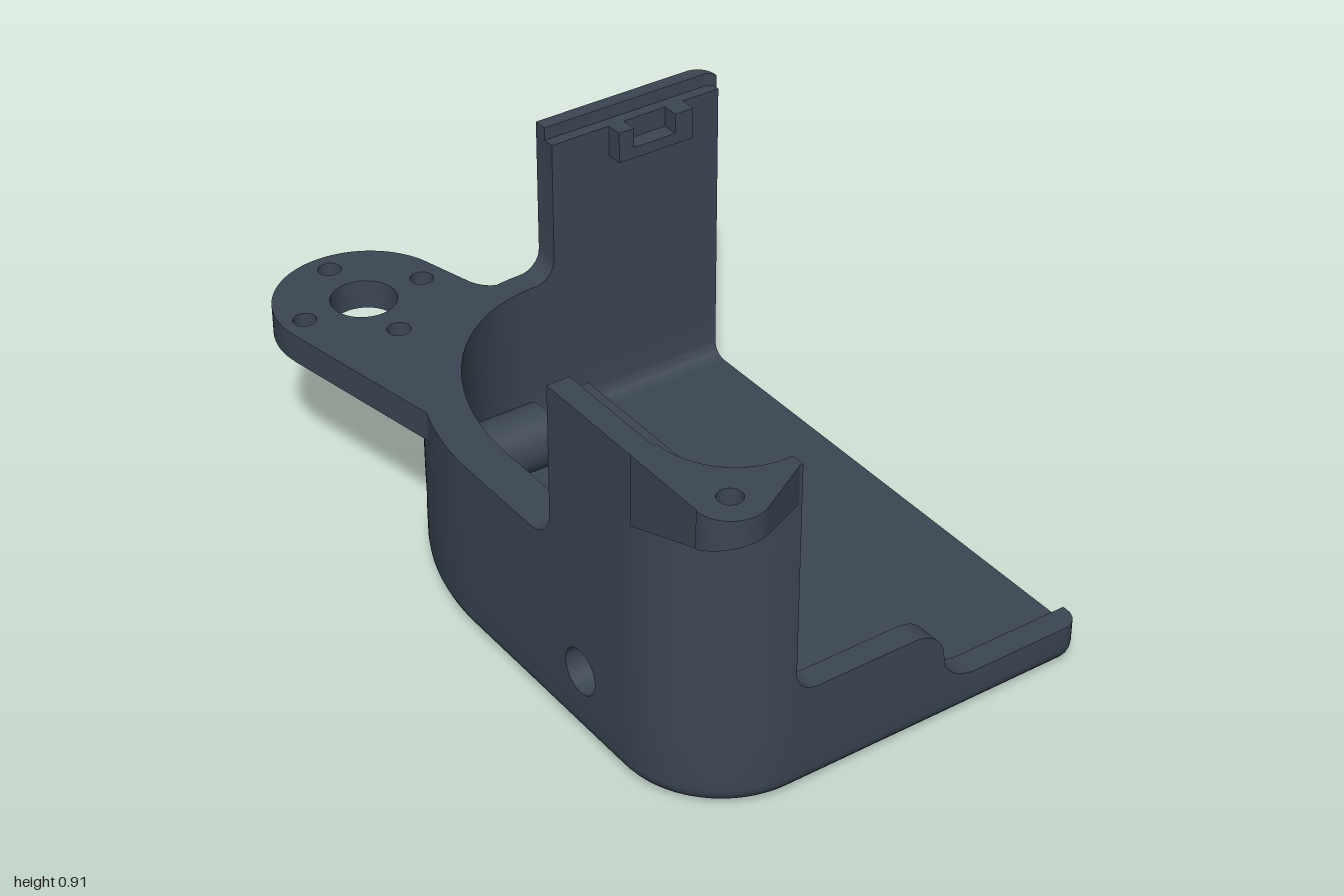
import * as THREE from 'three';
import { toCreasedNormals, mergeGeometries } from 'three/addons/utils/BufferGeometryUtils.js';

const body = new THREE.MeshStandardMaterial({ color: 0x3c4654, side: THREE.DoubleSide });
body.name = 'slate body';
const leaf = new THREE.MeshStandardMaterial({ color: 0x55a088, side: THREE.DoubleSide });
leaf.name = 'leaf green';

const R = Math.PI / 180, FLOOR = 0.07, TALL = 0.905, LOW = 0.48;
const BORE = { y: 0.185, r: 0.06, z: [0.465, -0.38] };

// points along an elliptical arc, angles in degrees
function arc(cx, cy, rx, ry, a0, a1, n = 8) {
  return Array.from({ length: n + 1 }, (_, i) => {
    const a = (a0 + (a1 - a0) * i / n) * R;
    return [cx + rx * Math.cos(a), cy + ry * Math.sin(a), Math.cos(a), Math.sin(a)];
  });
}
// x of the outer face of the side wall
const outerX = z => z > 0 ? -0.54 : 0.02 - 0.56 * Math.sqrt(1 - (z / 0.64) ** 2);

function add(group, name, geometry, material = body, crease = 35) {
  const mesh = new THREE.Mesh(toCreasedNormals(geometry, crease * R), material);
  mesh.name = name;
  group.add(mesh);
  return mesh;
}
// plan shape (x, z) extruded downwards from height top
function slab(shape, top, depth) {
  return new THREE.ExtrudeGeometry(shape, { depth, bevelEnabled: false, curveSegments: 32 })
    .rotateX(Math.PI / 2).translate(0, top, 0);
}
function hole(shape, x, y, r) {
  shape.holes.push(new THREE.Path().absarc(x, y, r, 0, Math.PI * 2, true));
}
const poly = pts => new THREE.Shape(pts.map(p => new THREE.Vector2(p[0], p[1])));

// stations around the plan: outer point, inner point, normal, height, floor fillet
function stations() {
  const list = [];
  const put = (o, i, n, h, f = 0.04, ni = n) => list.push({ o, i, n, h, f, ni });
  // front wall with its stepped edge
  put([0.535, 0.905], [0.585, 0.84], [0, 1], 0.11);
  [...arc(0.265, 0.19, 0.1, 0.08, -90, -180), ...arc(0.075, 0.19, 0.09, 0.09, 0, 90),
    ...arc(-0.2, 0.34, 0.06, 0.06, -90, -180), [-0.26, TALL]]
    .forEach(([x, h]) => put([x, 0.905], [x, 0.84], [0, 1], h));
  // front corner
  const cornerIn = arc(-0.27, 0.68, 0.16, 0.16, 90, 180, 20);
  arc(-0.27, 0.635, 0.27, 0.27, 90, 180, 20)
    .forEach((p, k) => put(p, cornerIn[k], [p[2], p[3]], TALL));
  // side wall, dense where the bore passes
  [...arc(BORE.z[0], 0, BORE.r, 0, 0, 180, 20).map(p => [p[0], TALL]), [0.35, TALL],
    ...arc(0.27, 0.56, 0.08, 0.08, 0, -90)]
    .forEach(([z, h]) => put([-0.54, z], [-0.43, z], [-1, 0], h));
  // big back corner
  const backIn = arc(0.02, 0, 0.45, 0.57, 180, 270, 90);
  arc(0.02, 0, 0.56, 0.64, 180, 270, 90)
    .forEach((p, k) => put(p, backIn[k], [p[2], p[3]], LOW));
  // back wall
  [...arc(0.02, 0.54, 0.06, 0.06, -90, 0), [0.08, TALL]]
    .forEach(([x, h]) => put([x, -0.64], [x, -0.57], [0, -1], h));
  arc(0.535, -0.59, 0.05, 0.05, -90, 0)
    .forEach(p => put(p, [0.585, -0.57], [p[2], p[3]], TALL, 0.04, [0, -1]));
  // open side: floor edge only
  put([0.585, -0.59], [0.585, -0.57], [1, 0], FLOOR, 0);
  put([0.585, 0.855], [0.585, 0.84], [1, 0], FLOOR, 0);
  arc(0.535, 0.855, 0.05, 0.05, 0, 90)
    .forEach(p => put(p, [0.585, 0.84], [p[2], p[3]], 0.11, 0.04, [0, 1]));
  return list;
}

// cross-section of the shell at one station, from outer bottom over the rim to the floor
function section({ o, i, n, ni, h, f }) {
  const pts = [], lip = h > 0.8 ? 0.035 : 0;
  const half = ([x, z]) => {
    const d = Math.min(...BORE.z.map(c => Math.abs(z - c)));
    return x < -0.1 && d < BORE.r ? Math.sqrt(BORE.r ** 2 - d * d) : 0;
  };
  const a = half(o), b = half(i), inTop = h - lip;
  const mid = [o[0] + (i[0] - o[0]) * 0.55, o[1] + (i[1] - o[1]) * 0.55];
  for (let k = 0; k <= 6; k++) {
    const t = k * 15 * R, inset = 0.05 * (1 - Math.sin(t));
    pts.push([o[0] - n[0] * inset, 0.05 * (1 - Math.cos(t)), o[1] - n[1] * inset]);
  }
  const row = (p, y) => pts.push([p[0], y, p[1]]);
  row(o, Math.min(BORE.y - a, h)); row(o, Math.min(BORE.y + a, h)); row(o, h);
  row(mid, h); row(mid, inTop);
  row(i, inTop); row(i, Math.min(BORE.y + b, inTop)); row(i, Math.min(BORE.y - b, inTop));
  for (let k = 0; k <= 6; k++) {
    const t = k * 15 * R, inset = f * (1 - Math.cos(t));
    pts.push([i[0] - ni[0] * inset, FLOOR + f * (1 - Math.sin(t)), i[1] - ni[1] * inset]);
  }
  pts.open = { 7: a > 0.001, 13: b > 0.001 };
  return pts;
}

function buildShell(group) {
  const st = stations(), secs = st.map(section), pos = [];
  secs.forEach((s, k) => {
    const t = secs[(k + 1) % secs.length];
    for (let j = 0; j < s.length - 1; j++) {
      if (s.open[j] || t.open[j]) continue;
      pos.push(...s[j], ...s[j + 1], ...t[j], ...s[j + 1], ...t[j + 1], ...t[j]);
    }
  });
  const g = new THREE.BufferGeometry();
  g.setAttribute('position', new THREE.Float32BufferAttribute(pos, 3));
  add(group, 'shellWalls', g);

  const distinct = pts => pts.filter((p, k) => {
    const q = pts[(k + 1) % pts.length];
    return Math.hypot(p[0] - q[0], p[1] - q[1]) > 1e-5;
  });
  const under = distinct(secs.map(s => [s[0][0], s[0][2]]));
  add(group, 'underside', new THREE.ShapeGeometry(poly(under)).rotateX(Math.PI / 2));
  const inside = distinct(secs.filter((s, k) => st[k].f > 0).map(s => [s.at(-1)[0], -s.at(-1)[2]]));
  add(group, 'insideFloor',
    new THREE.ShapeGeometry(poly(inside)).rotateX(-Math.PI / 2).translate(0, FLOOR, 0));
}

// screw post with a counterbore that opens through the side wall
function screwPost(group, name, zc, seat) {
  const profile = [[0.083, -1], [0.083, -0.09], [0.03, -0.09], [0.03, seat], [BORE.r, seat], [BORE.r, -1]];
  const g = new THREE.LatheGeometry(profile.map(p => new THREE.Vector2(...p)), 40).rotateZ(-Math.PI / 2);
  const p = g.attributes.position;
  for (let k = 0; k < p.count; k++) {
    if (p.getX(k) > -0.99) continue;
    const wide = Math.hypot(p.getY(k), p.getZ(k)) > 0.07;
    p.setX(k, outerX(p.getZ(k) + zc) + (wide ? 0.04 : 0));
  }
  add(group, name, g.translate(0, BORE.y, zc));
}

// tapered curved stroke lying on the underside
function stroke(a, b, bend, w0, w1) {
  const dx = b[0] - a[0], dz = b[1] - a[1], len = Math.hypot(dx, dz);
  const nx = -dz / len, nz = dx / len, l = [], r = [];
  for (let k = 0; k <= 8; k++) {
    const t = k / 8, c = bend * 4 * t * (1 - t), w = (w0 + (w1 - w0) * t) / 2;
    l.push([a[0] + dx * t + nx * (c + w), a[1] + dz * t + nz * (c + w)]);
    r.unshift([a[0] + dx * t + nx * (c - w), a[1] + dz * t + nz * (c - w)]);
  }
  return new THREE.ShapeGeometry(poly([...l, ...r])).rotateX(Math.PI / 2);
}
// sprig with broad fronds on one side and fine ones on the other
function sprig(group, x, z, size, broad, fine, stem = true) {
  const parts = stem ? [stroke([-0.04, 0.21], [0.05, -0.19], 0.02, 0.02, 0.05)] : [];
  for (let k = 0; k < 4; k++) {
    const s = [-0.03 + 0.022 * k, 0.13 - 0.1 * k];
    if (k < broad) parts.push(stroke(s, [s[0] + 0.1, s[1] - 0.1], -0.025, 0.035, 0.045));
    if (k < fine) parts.push(stroke(s, [s[0] - 0.17 + 0.02 * k, s[1] - 0.12], 0.01, 0.022, 0.006));
  }
  const g = mergeGeometries(parts).scale(size, 1, size).translate(x, -0.002, z);
  add(group, 'leafSprig', g, leaf);
}

export function createModel() {
  const model = new THREE.Group();
  model.name = 'housing';
  buildShell(model);
  screwPost(model, 'frontScrewPost', BORE.z[0], -0.36);
  screwPost(model, 'backScrewPost', BORE.z[1], -0.3);

  // round mounting flange behind the big corner
  const flange = new THREE.Shape();
  flange.moveTo(-0.488, -0.2);
  flange.lineTo(-0.587, -0.73);
  flange.absarc(-0.36, -0.77, 0.23, 170 * R, 342 * R, false);
  flange.lineTo(-0.1, -0.69);
  flange.quadraticCurveTo(-0.07, -0.6, 0.06, -0.636);
  arc(0.02, 0, 0.51, 0.61, 270, 199, 24).forEach(p => flange.lineTo(p[0], p[1]));
  hole(flange, -0.36, -0.77, 0.085);
  for (let k = 0; k < 4; k++)
    hole(flange, -0.36 + 0.17 * Math.cos(k * 90 * R), -0.77 + 0.17 * Math.sin(k * 90 * R), 0.03);
  add(model, 'mountingFlange', slab(flange, LOW, 0.08));

  // screw ear on the front corner, its underside sloping into the wall
  const ear = new THREE.Shape();
  ear.moveTo(-0.54, 0.67);
  ear.lineTo(-0.54, 0.912);
  ear.absarc(-0.455, 0.912, 0.087, 180 * R, 60 * R, true);
  ear.lineTo(-0.26, 0.9);
  arc(-0.27, 0.67, 0.2, 0.2, 90, 180, 16).forEach(p => ear.lineTo(p[0], p[1]));
  hole(ear, -0.455, 0.912, 0.03);
  const earGeo = slab(ear, TALL, 0.1), ep = earGeo.attributes.position;
  for (let k = 0; k < ep.count; k++)
    if (ep.getY(k) < 0.85) ep.setY(k, 0.795 + (ep.getZ(k) - 0.88) * 0.36);
  add(model, 'screwEar', earGeo);

  // U-shaped latch pocket on the back wall
  const latch = poly([[0.25, 0.87], [0.25, 0.785], [0.475, 0.785], [0.475, 0.87],
    [0.42, 0.87], [0.42, 0.815], [0.295, 0.815], [0.295, 0.87]]);
  add(model, 'latchPocket',
    new THREE.ExtrudeGeometry(latch, { depth: 0.05, bevelEnabled: false }).translate(0, 0, -0.575));

  // slotted block on the floor
  const slot = poly([[-0.45, 0.54], [-0.19, 0.54], [-0.19, 0.685], [-0.45, 0.685]]);
  slot.holes.push(new THREE.Path([[-0.425, 0.58], [-0.425, 0.645], [-0.23, 0.645], [-0.23, 0.58]]
    .map(p => new THREE.Vector2(...p))));
  add(model, 'slottedBlock', slab(slot, 0.16, 0.1));

  // leaf pattern on the underside
  [[0.32, 0.05, 1, 4, 4], [-0.09, 0.06, 1, 4, 4], [0.12, 0.6, 1, 4, 4], [-0.26, 0.63, 0.95, 4, 3],
    [-0.42, 0.14, 0.85, 4, 0], [0.12, -0.4, 0.65, 3, 1], [0.46, 0.63, 0.9, 0, 3, false],
    [0.43, -0.44, 0.7, 0, 1, false]].forEach(s => sprig(model, ...s));
  return model;
}
